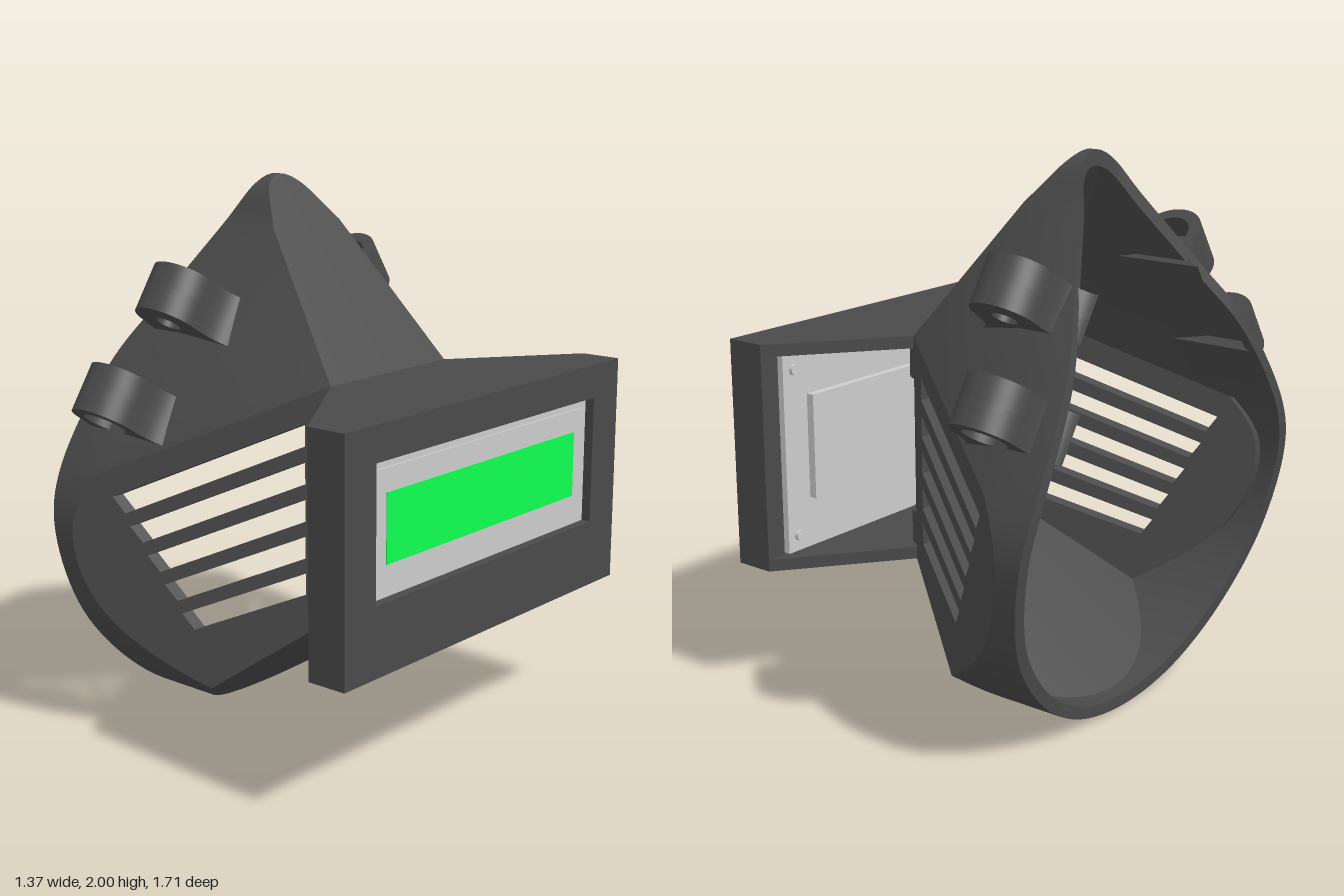
import * as THREE from 'three';
import { toCreasedNormals } from 'three/addons/utils/BufferGeometryUtils.js';

const dark = new THREE.MeshStandardMaterial({ color: 0x4a4a4a, side: THREE.DoubleSide });
const grey = new THREE.MeshStandardMaterial({ color: 0xcccccc });
const green = new THREE.MeshStandardMaterial({ color: 0x10ff50 });
const lerp = THREE.MathUtils.lerp;
const V2 = (x, y) => new THREE.Vector2(x, y);

// Half outline of the face opening as (z, y), bottom to top
const half = [[0, 0], [0.3, 0.052], [0.56, 0.21], [0.76, 0.46], [0.83, 0.76], [0.77, 1.0],
  [0.565, 1.33], [0.37, 1.585], [0.18, 1.83], [0.09, 1.96], [0, 2]];
const outline = new THREE.CatmullRomCurve3(
  [...half, ...half.slice(1, -1).reverse().map(([z, y]) => [-z, y])].map(([z, y]) => new THREE.Vector3(0, y, z)),
  true, 'catmullrom', 0.5);

// Curved back edge: x for a given height
const backEdge = new THREE.SplineCurve([V2(0, -0.52), V2(0.4, -0.6), V2(0.8, -0.67), V2(1.05, -0.685),
  V2(1.35, -0.645), V2(1.6, -0.535), V2(2, -0.35)]).getPoints(90);
function rimX(y) {
  const i = Math.max(1, backEdge.findIndex((p) => p.x >= y));
  const a = backEdge[i - 1], b = backEdge[i];
  return lerp(a.y, b.y, THREE.MathUtils.clamp((y - a.x) / (b.x - a.x), 0, 1));
}

// Flat faces of the snout, each giving x for a point of the outline
const FX = 0.2, Y0 = 0.49, Y1 = 1.33, HZ = 0.32, SLOPE = 0.66, T = 0.05;
const sideX = (z) => FX - (z - HZ) / SLOPE;
const bottomX = (y) => FX - (Y0 - y) * (FX - sideX(0.56)) / (Y0 - 0.21);
const topX = (y) => FX - (y - Y1) * 0.776;
const cheek = new THREE.Plane().setFromCoplanarPoints(
  new THREE.Vector3(FX, Y1, HZ), new THREE.Vector3(topX(1.83), 1.83, 0.18),
  new THREE.Vector3(sideX(0.77), 1.0, 0.77));
const cheekX = (y, z) => -(cheek.constant + cheek.normal.y * y + cheek.normal.z * z) / cheek.normal.x;

// Front-edge point and crease point for position u (0 bottom, 10 top, 20 bottom again)
function section(u) {
  const s = u > 10 ? -1 : 1, v = s > 0 ? u : 20 - u;
  const p = outline.getPoint((u / 20) % 1), z = Math.abs(p.z);
  let x, fy, fz = HZ;
  if (v <= 2) { x = bottomX(p.y); fy = Y0; fz = HZ * v / 2; }
  else if (v <= 5) { x = sideX(z); fy = lerp(Y0, Y1, (v - 2) / 3); }
  else if (v <= 8) { x = cheekX(p.y, z); fy = Y1; }
  else { x = topX(p.y); fy = Y1; fz = HZ * (10 - v) / 2; }
  return { front: [FX, fy, s * fz], crease: [Math.max(x, rimX(p.y)), p.y, p.z], rim: [rimX(p.y), p.y, p.z], v };
}

// Shell: outer and inner skins joined at the rim; the slotted panels fill the sides
function shellGeometry() {
  const K = 8, pos = [];
  const inward = ([x, y, z], dx) => [x - dx, lerp(y, 0.88, 0.05), z * 0.94];
  const rows = Array.from({ length: 20 * K + 1 }, (_, i) => {
    const q = section(i / K), ri = inward(q.rim, 0), ci = inward(q.crease, 0.02);
    ci[0] = Math.max(ci[0], ri[0]);
    return { v: q.v, loops: [q.front, q.crease, q.rim, ri, ci, inward(q.front, T)] };
  });
  for (let i = 0; i < 20 * K; i++) {
    const mid = (rows[i].v + rows[i + 1].v) / 2, side = mid > 2 && mid < 5;
    for (let j = 0; j < 5; j++) {
      if (side && (j === 0 || j === 4)) continue;
      const a = rows[i].loops[j], b = rows[i + 1].loops[j];
      const c = rows[i].loops[j + 1], d = rows[i + 1].loops[j + 1];
      pos.push(...a, ...b, ...c, ...b, ...d, ...c);
    }
  }
  const g = new THREE.BufferGeometry();
  g.setAttribute('position', new THREE.Float32BufferAttribute(pos, 3));
  return toCreasedNormals(g, 0.52);
}

// Side panel with five slanted vents, sheared to the slope of the side
function ventPanel(s) {
  const pts = [V2(FX, Y1), V2(FX, Y0)];
  for (let i = 0; i <= 24; i++) {
    const [x, y] = section(2 + i / 8).crease;
    pts.push(V2(x, y));
  }
  const shape = new THREE.Shape(pts);
  for (let k = 0; k < 5; k++) {
    const x = -0.447 + 0.05 * k, y = 0.915 - 0.106 * k, r = 1.197 - 0.135 * k;
    shape.holes.push(new THREE.Path([V2(x, y), V2(x + 0.037, y - 0.06), V2(0.125, r - 0.08), V2(0.125, r)]));
  }
  const g = new THREE.ExtrudeGeometry(shape, { depth: T, bevelEnabled: false });
  const p = g.attributes.position;
  for (let i = 0; i < p.count; i++) {
    const off = HZ + SLOPE * (FX - p.getX(i));
    p.setZ(i, s > 0 ? off - T + p.getZ(i) : -off + p.getZ(i));
  }
  g.computeVertexNormals();
  return g;
}

// Strap lug slice: round head on a flared foot, bored through
function lugSlice(hole) {
  const s = new THREE.Shape();
  s.moveTo(-0.21, -0.15);
  s.quadraticCurveTo(-0.13, -0.13, -0.125, 0);
  s.absarc(0, 0, 0.125, Math.PI, 0, true);
  s.quadraticCurveTo(0.13, -0.13, 0.21, -0.15);
  s.holes.push(new THREE.Path().absarc(0, 0, hole, 0, Math.PI * 2));
  const g = new THREE.ExtrudeGeometry(s, { depth: 0.09, bevelEnabled: false, curveSegments: 20 });
  return toCreasedNormals(g, 0.6);
}

export function createModel() {
  const model = new THREE.Group();
  const add = (name, geo, mat = dark, parent = model) => {
    const m = new THREE.Mesh(geo, mat);
    m.name = name;
    parent.add(m);
    return m;
  };
  // Box from its limits on each axis
  const box = (name, x0, x1, y0, y1, z0, z1, mat) => add(name, new THREE.BoxGeometry(x1 - x0, y1 - y0, z1 - z0), mat)
    .position.set((x0 + x1) / 2, (y0 + y1) / 2, (z0 + z1) / 2);

  add('maskShell', shellGeometry());
  box('snoutWall', FX - 0.04, FX, Y0, Y1, -HZ, HZ);

  for (const s of [1, -1]) {
    add(s > 0 ? 'leftVentPanel' : 'rightVentPanel', ventPanel(s));
    // Two strap lugs per side, bored along the slope of the cheek
    for (const [x, y, z, flip] of [[-0.375, 1.585, 0.475, 1], [-0.47, 1.25, 0.7, -1]]) {
      const lug = new THREE.Group();
      lug.name = 'strapLug';
      const n = new THREE.Vector3(0, 0.55, 0.835 * s).normalize(), ex = new THREE.Vector3(1, 0, 0);
      lug.quaternion.setFromRotationMatrix(new THREE.Matrix4().makeBasis(ex, n, ex.clone().cross(n)));
      lug.position.set(x, y, z * s);
      const wideFirst = flip * s > 0;
      add('lugHalf', lugSlice(wideFirst ? 0.08 : 0.045), dark, lug).position.z = -0.09;
      add('lugHalf', lugSlice(wideFirst ? 0.045 : 0.08), dark, lug);
      model.add(lug);
    }
  }

  // Display housing: flared top and bottom plates, open sides
  const ZL = 0.815, ZR = -0.75, BX = 0.53;
  const plate = new THREE.Shape([V2(FX, HZ), V2(FX, -HZ), V2(BX, ZR), V2(BX + 0.01, ZR), V2(BX + 0.01, ZL), V2(BX, ZL)]);
  for (const [name, y] of [['topPlate', Y1], ['bottomPlate', Y0 + 0.045]]) {
    const m = add(name, new THREE.ExtrudeGeometry(plate, { depth: 0.045, bevelEnabled: false }));
    m.rotation.x = Math.PI / 2;
    m.position.y = y;
  }
  // Half-round bosses inside the housing
  for (const y of [1.23, 0.595]) for (const z of [-0.22, 0.22]) {
    add('boss', new THREE.CylinderGeometry(0.08, 0.08, 0.13, 16, 1, false, 0, Math.PI)).position.set(FX, y, z);
  }

  // Front frame with a window, shape drawn in (-z, y)
  const frame = new THREE.Shape([V2(-ZL, Y0), V2(-ZR, Y0), V2(-ZR, Y1), V2(-ZL, Y1)]);
  frame.holes.push(new THREE.Path([V2(-0.66, 0.737), V2(-0.66, 1.207), V2(0.592, 1.207), V2(0.592, 0.737)]));
  const frameMesh = add('displayFrame', new THREE.ExtrudeGeometry(frame, { depth: 0.68 - BX, bevelEnabled: false }));
  frameMesh.rotation.y = Math.PI / 2;
  frameMesh.position.x = BX;

  // Display module: bezel, screen, circuit board and backpack
  box('bezel', 0.53, 0.645, 0.737, 1.207, -0.592, 0.66, grey);
  box('bezelFace', 0.64, 0.652, 0.77, 1.172, -0.557, 0.627, grey);
  box('screen', 0.645, 0.655, 0.85, 1.09, -0.505, 0.575, green);
  box('circuitBoard', 0.505, 0.535, 0.54, 1.28, -0.67, 0.74, grey);
  box('backpackBoard', 0.47, 0.5, 0.73, 1.12, -0.56, 0.25, grey);
  box('headerStrip', 0.495, 0.51, 1.05, 1.1, -0.5, 0.2, grey);
  for (const z of [-0.62, 0.69]) for (const y of [0.6, 1.22]) {
    const screw = add('screw', new THREE.CylinderGeometry(0.02, 0.02, 0.02, 12), grey);
    screw.rotation.z = Math.PI / 2;
    screw.position.set(0.5, y, z);
  }
  return model;
}
